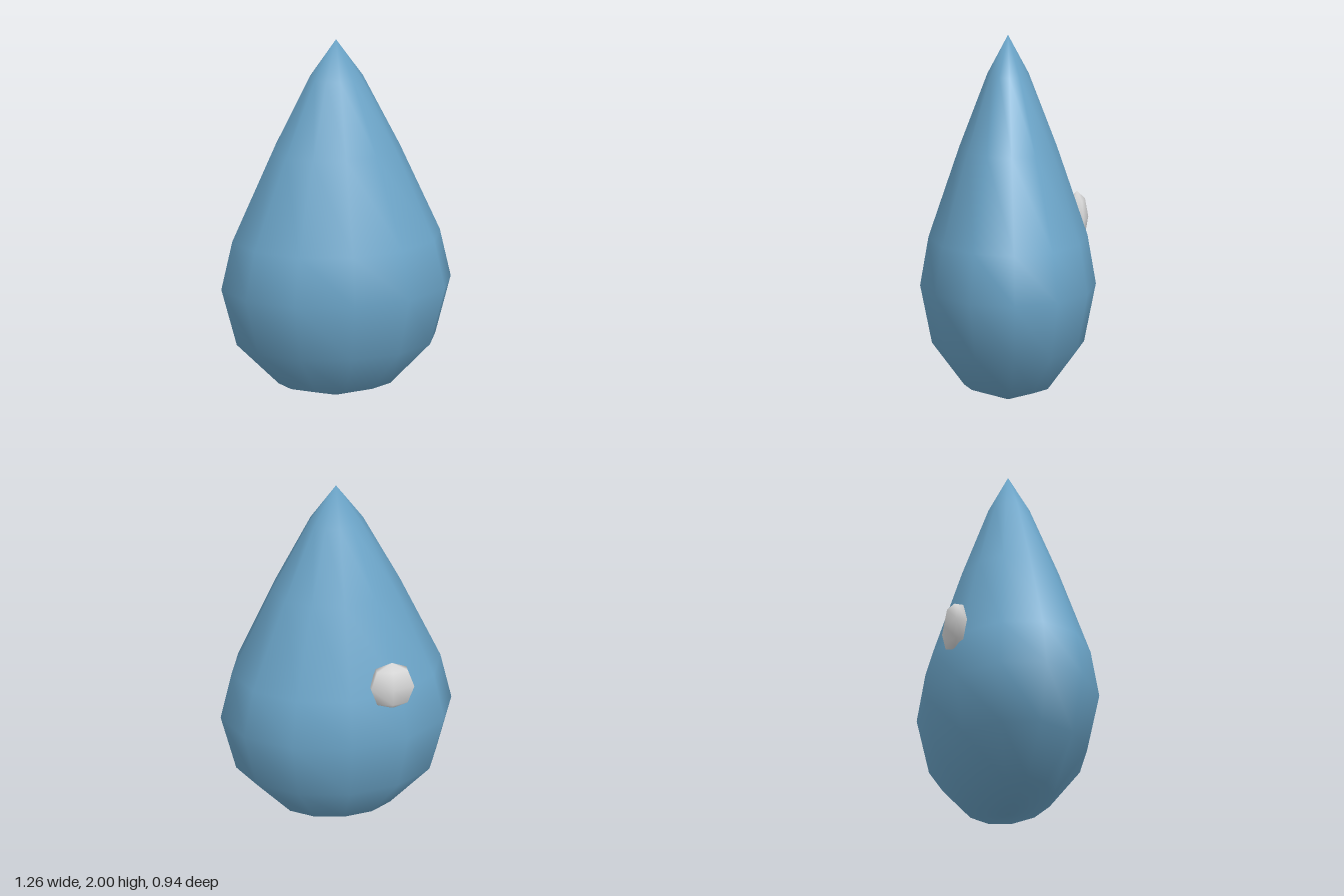
import * as THREE from 'three';
import { mergeVertices } from 'three/addons/utils/BufferGeometryUtils.js';

// Weld seams and poles so the shading runs smoothly over the whole surface
function smooth(geometry) {
  geometry.deleteAttribute('normal');
  geometry.deleteAttribute('uv');
  const welded = mergeVertices(geometry, 1e-4);
  welded.computeVertexNormals();
  return welded;
}

export function createModel() {
  const group = new THREE.Group();
  group.name = 'waterDrop';

  const blue = new THREE.MeshStandardMaterial({ color: 0x6ca6ca });
  blue.name = 'waterBlue';
  const white = new THREE.MeshStandardMaterial({ color: 0xdcdcdc });
  white.name = 'highlightWhite';

  // Drop body: rounded below, pointed above, flattened front to back
  const profile = [
    [0, 0.005], [0.315, 0.09], [0.545, 0.32], [0.63, 0.635],
    [0.57, 0.9], [0.35, 1.39], [0.148, 1.79], [0, 2],
  ].map(([r, y]) => new THREE.Vector2(r, y));
  const bodyGeometry = new THREE.LatheGeometry(profile, 12).scale(1, 1, 0.75);
  const body = new THREE.Mesh(smooth(bodyGeometry), blue);
  body.name = 'dropBody';
  group.add(body);

  // Highlight: small flattened bead sunk into the back
  const beadGeometry = new THREE.SphereGeometry(1, 6, 4)
    .rotateY(Math.PI / 6)
    .scale(0.136, 0.14, 0.06)
    .translate(-0.232, 0.955, -0.385);
  const bead = new THREE.Mesh(smooth(beadGeometry), white);
  bead.name = 'highlight';
  group.add(bead);

  return group;
}
